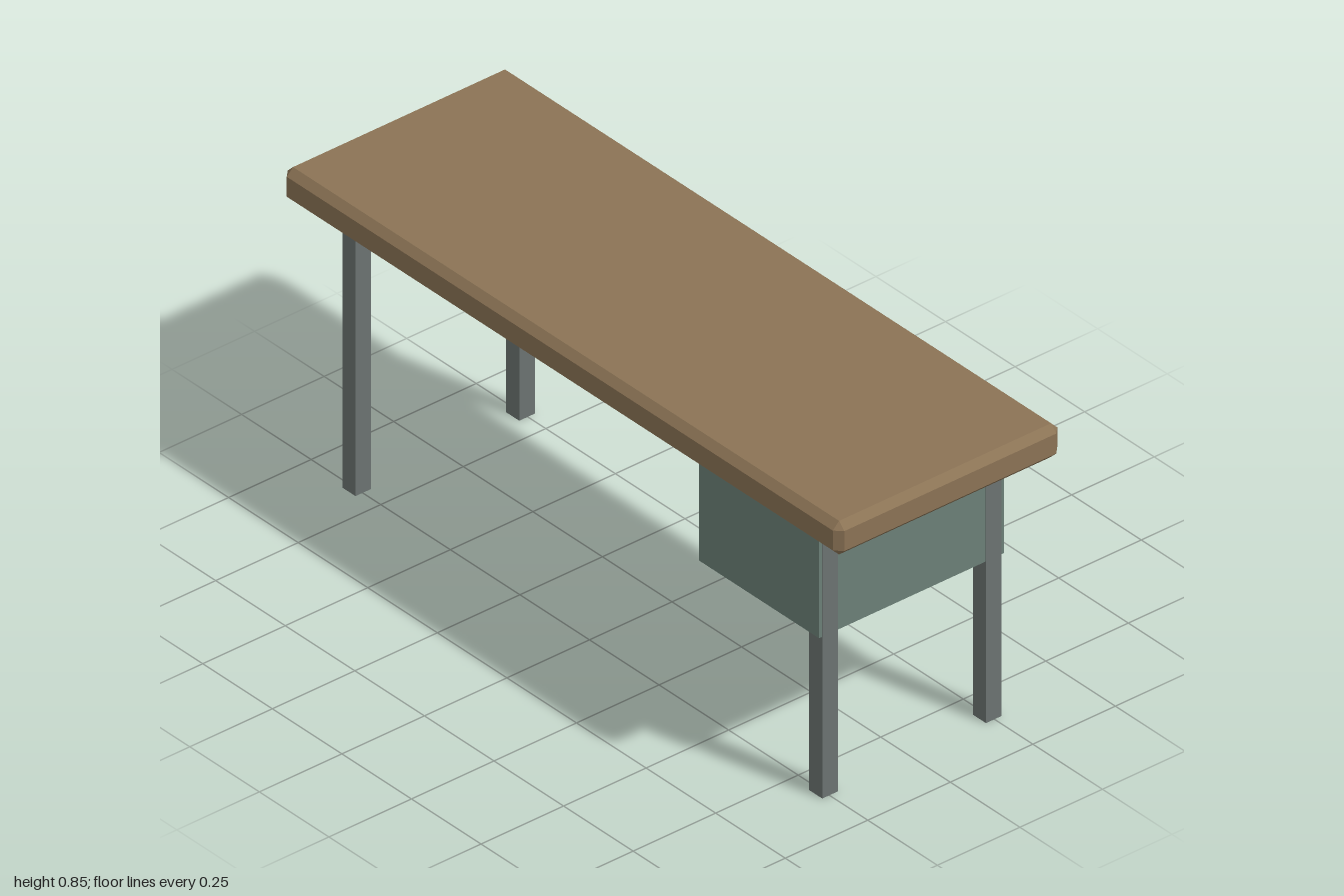
import * as THREE from 'three';
import { ConvexGeometry } from 'three/addons/geometries/ConvexGeometry.js';

const wood = new THREE.MeshStandardMaterial({ color: 0x8b7355 });
const metal = new THREE.MeshStandardMaterial({ color: 0x6b7371 });
const paint = new THREE.MeshStandardMaterial({ color: 0x6b8077 });

// Box with every edge and corner cut by one flat bevel
function bevelledBox(w, h, d, b) {
  const points = [];
  for (const sx of [-1, 1]) for (const sy of [-1, 1]) for (const sz of [-1, 1]) {
    const x = w / 2, y = h / 2, z = d / 2;
    points.push(
      new THREE.Vector3(sx * x, sy * (y - b), sz * (z - b)),
      new THREE.Vector3(sx * (x - b), sy * y, sz * (z - b)),
      new THREE.Vector3(sx * (x - b), sy * (y - b), sz * z)
    );
  }
  return new ConvexGeometry(points);
}

export function createModel() {
  const desk = new THREE.Group();
  desk.name = 'desk';

  const add = (name, geometry, material, x, y, z, parent = desk) => {
    const mesh = new THREE.Mesh(geometry, material);
    mesh.name = name;
    mesh.position.set(x, y, z);
    parent.add(mesh);
  };

  const underside = 0.755;

  // Thick bevelled top
  add('tabletop', bevelledBox(2, 0.093, 0.68, 0.019), wood, 0, underside + 0.0465, 0);

  // Four square legs
  const leg = new THREE.BoxGeometry(0.047, underside, 0.047);
  for (const [side, sx] of [['left', 1], ['right', -1]]) {
    for (const [end, sz] of [['Front', 1], ['Back', -1]]) {
      add(side + end + 'Leg', leg, metal, sx * 0.8385, underside / 2, sz * 0.248);
    }
  }

  // Drawer cabinet hung under the left side, opening to the back
  const drawers = new THREE.Group();
  drawers.name = 'drawerUnit';
  desk.add(drawers);
  const cx = 0.645;
  add('cabinet', new THREE.BoxGeometry(0.431, 0.309, 0.56), paint, cx, 0.6005, 0, drawers);

  // Drawer pulls
  const handle = new THREE.BoxGeometry(0.16, 0.02, 0.035);
  add('upperHandle', handle, metal, cx, 0.681, -0.2965, drawers);
  add('lowerHandle', handle, metal, cx, 0.537, -0.2965, drawers);

  return desk;
}
